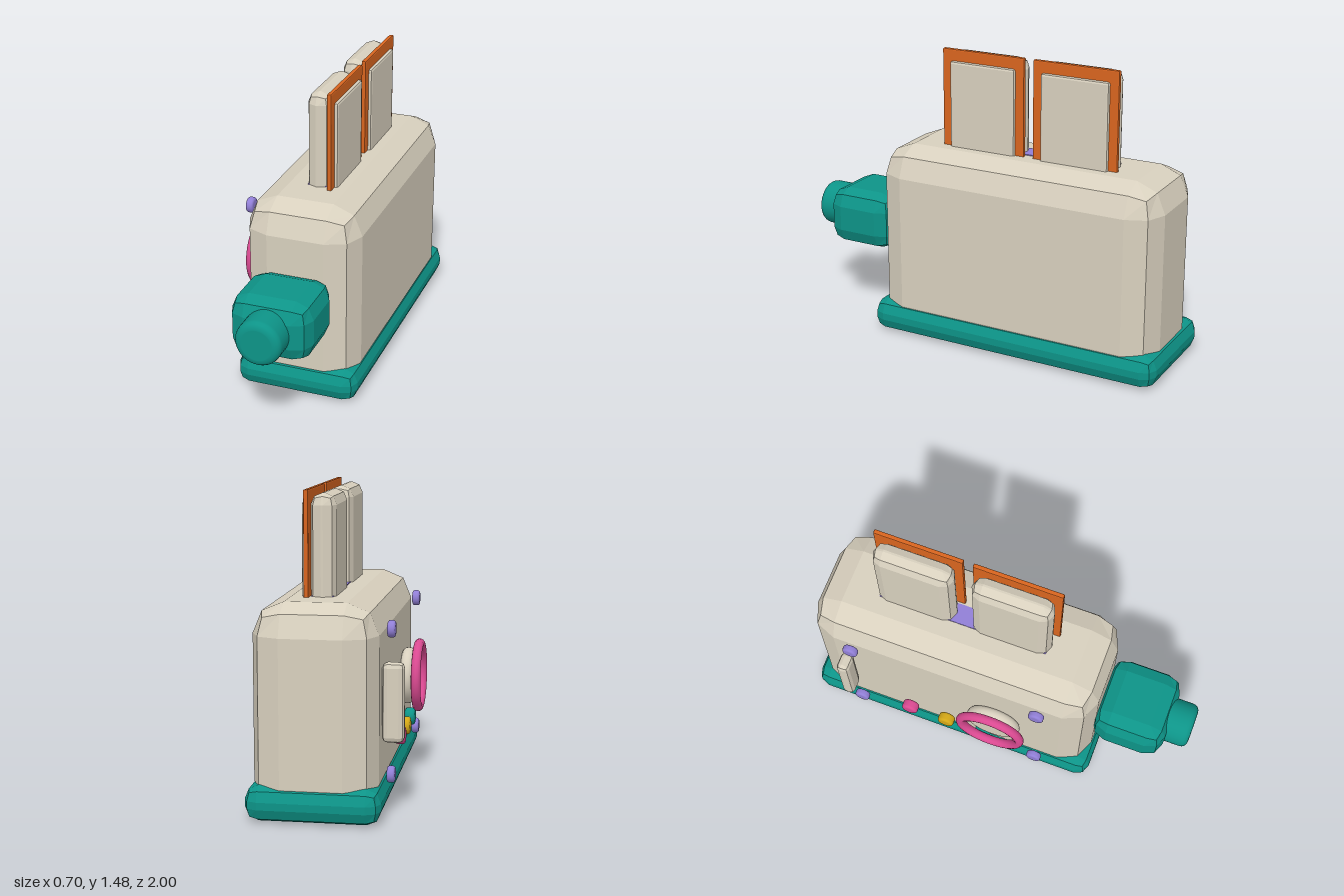
import * as THREE from 'three';
import { RoundedBoxGeometry } from 'three/addons/geometries/RoundedBoxGeometry.js';

function material(name, color, flatShading = false) {
  const m = new THREE.MeshStandardMaterial({ color });
  m.name = name;
  m.flatShading = flatShading;
  return m;
}

export function createModel() {
  const group = new THREE.Group();
  group.name = 'toaster';

  const beige = material('beige', 0xd8d0be);
  const teal = material('teal', 0x0d9488);
  const orange = material('orange', 0xd9651f);
  const pink = material('pink', 0xdb4a92);
  const purple = material('purple', 0x917fd6);
  const yellow = material('yellow', 0xd4a817);

  const add = (name, geometry, mat) => {
    const mesh = new THREE.Mesh(geometry, mat);
    mesh.name = name;
    group.add(mesh);
    return mesh;
  };

  // Box with two-step chamfered edges, given by its extents on each axis
  const block = (name, mat, [x0, x1], [y0, y1], [z0, z1], r) => {
    const g = new RoundedBoxGeometry(x1 - x0, y1 - y0, z1 - z0, 1, r);
    g.computeVertexNormals();
    g.translate((x0 + x1) / 2, (y0 + y1) / 2, (z0 + z1) / 2);
    return add(name, g, mat);
  };

  // Round disc with a softened rim, turned about the y axis
  const disc = (radius, depth, bevel, sides = 32) => {
    const h = depth / 2, steps = 4;
    const rim = [];
    for (let i = 0; i <= steps; i++) {
      const a = (i / steps) * Math.PI / 2;
      rim.push([radius - bevel + bevel * Math.sin(a), h - bevel + bevel * Math.cos(a)]);
    }
    const inner = radius - bevel * 1.1;
    const top = [[0, h], [inner, h], ...rim];
    const points = [
      ...top.map(([r, y]) => new THREE.Vector2(r, -y)),
      ...top.reverse().map(([r, y]) => new THREE.Vector2(r, y)),
    ];
    return new THREE.LatheGeometry(points, sides);
  };

  // Disc mounted on the right side, facing -x
  const sideDisc = (name, mat, radius, x0, x1, y, z, bevel) => {
    const g = disc(radius, x1 - x0, bevel);
    g.rotateZ(Math.PI / 2);
    g.translate((x0 + x1) / 2, y, z);
    return add(name, g, mat);
  };

  // Base and body
  block('base', teal, [-0.27, 0.35], [0, 0.165], [-1, 0.55], 0.065);
  block('body', beige, [-0.246, 0.33], [0.01, 0.985], [-0.972, 0.524], 0.145);

  // Slot plate on top
  const slot = add('slot', new THREE.BoxGeometry(0.1, 0.008, 0.87), purple);
  slot.position.set(0.04, 0.985, -0.226);

  // Front handle with its round end
  block('handle', teal, [-0.161, 0.243], [0.38, 0.677], [0.51, 0.884], 0.085);
  const end = disc(0.114, 0.2, 0.035, 40);
  end.rotateX(Math.PI / 2);
  end.translate(0.041, 0.53, 0.9);
  add('handleEnd', end, teal);

  // Two slices, each with a crust frame and a crumb panel
  for (const z of [0.02, -0.474]) {
    block('slice', beige, [-0.02, 0.1], [0.8, 1.457], [z - 0.203, z + 0.203], 0.055);
    block('crust', orange, [0.099, 0.122], [0.85, 1.475], [z - 0.223, z + 0.223], 0.006);
    block('crumb', beige, [0.104, 0.138], [0.85, 1.417], [z - 0.177, z + 0.177], 0.012);
  }

  // Corner rivets
  for (const y of [0.18, 0.855]) {
    for (const z of [-0.717, 0.262]) sideDisc('rivet', purple, 0.039, -0.305, -0.268, y, z, 0.012);
  }

  // Row of buttons
  [pink, yellow, teal].forEach((mat, i) => {
    sideDisc('button', mat, 0.043, -0.318, -0.267, 0.295, -0.43 + i * 0.203, 0.014);
  });

  // Dial and its ring
  sideDisc('dial', beige, 0.142, -0.306, -0.246, 0.493, 0.032, 0.026);
  const ring = new THREE.TorusGeometry(0.16, 0.024, 12, 40);
  ring.rotateY(Math.PI / 2);
  ring.translate(-0.329, 0.496, 0.033);
  add('dialRing', ring, pink);

  // Lever
  block('lever', beige, [-0.352, -0.25], [0.34, 0.71], [-0.79, -0.725], 0.025);

  return group;
}
